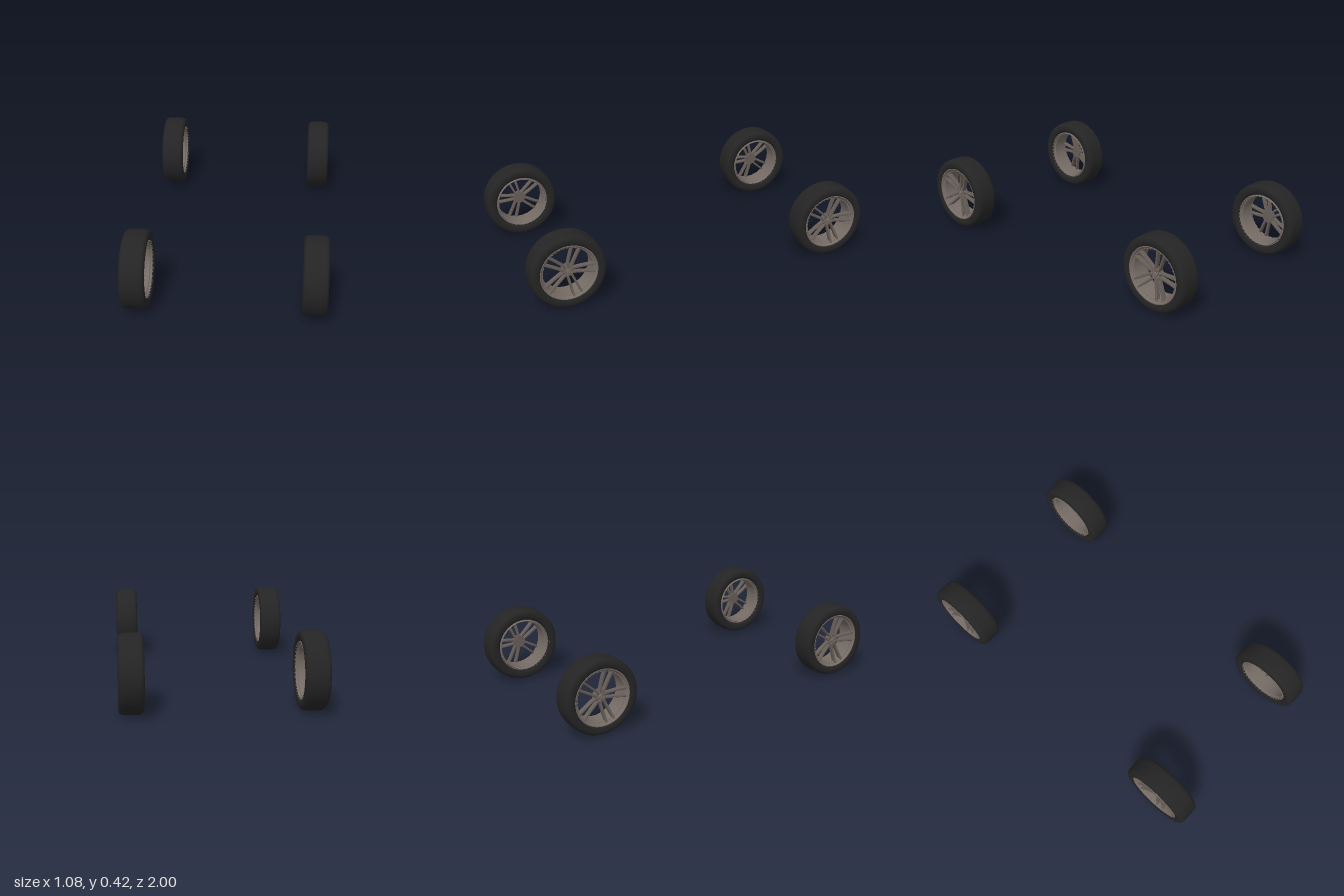
import * as THREE from 'three';
import { toCreasedNormals } from 'three/addons/utils/BufferGeometryUtils.js';

const R = 0.212;          // tyre radius
const HALF = 0.067;       // half of the tyre width
const rubber = new THREE.MeshStandardMaterial({ color: 0x242424 });
rubber.name = 'rubber';
const rimMetal = new THREE.MeshStandardMaterial({ color: 0x756b65 });
rimMetal.name = 'rim metal';
const spokeMetal = new THREE.MeshStandardMaterial({ color: 0x665d57 });
spokeMetal.name = 'spoke metal';

function mesh(name, geometry, material) {
  const m = new THREE.Mesh(geometry, material);
  m.name = name;
  return m;
}

// Turned part about the x axis; points are [radius, x]
function turned(points, segments, crease) {
  const g = new THREE.LatheGeometry(points.map(([r, x]) => new THREE.Vector2(r, x)), segments);
  g.rotateZ(-Math.PI / 2);
  return crease ? toCreasedNormals(g, crease) : g;
}

// Cylinder along x
function disc(r0, r1, length, sides, x) {
  const g = new THREE.CylinderGeometry(r1, r0, length, sides);
  g.rotateZ(-Math.PI / 2);
  g.translate(x, 0, 0);
  return g;
}

// One bar from hub to rim: side profile in (radius, x), given its thickness
function spokeGeometry(width) {
  const s = new THREE.Shape();
  s.moveTo(0.014, 0.018);
  s.quadraticCurveTo(0.08, 0.018, 0.145, 0.030);
  s.lineTo(0.145, 0.054);
  s.quadraticCurveTo(0.08, 0.040, 0.014, 0.038);
  s.closePath();
  const g = new THREE.ExtrudeGeometry(s, {
    depth: width - 0.004, curveSegments: 6,
    bevelEnabled: true, bevelThickness: 0.002, bevelSize: 0.002, bevelSegments: 1,
  });
  g.translate(0, 0, -(width - 0.004) / 2);
  // profile radius -> y, profile depth -> x, thickness -> z
  g.applyMatrix4(new THREE.Matrix4().makeBasis(
    new THREE.Vector3(0, 1, 0), new THREE.Vector3(1, 0, 0), new THREE.Vector3(0, 0, -1)));
  return g;
}

// Wheel about the x axis, outer face towards +x
function makeWheel() {
  const wheel = new THREE.Group();

  // Tyre with rounded shoulders
  const half = [[R, 0], [R - 0.0005, 0.035], [R - 0.003, 0.05], [R - 0.008, 0.059],
    [R - 0.016, 0.065], [R - 0.028, HALF], [R - 0.042, 0.066], [0.160, 0.062], [0.154, 0.054]];
  const tyre = [...half.slice(1).reverse().map(([r, x]) => [r, -x]), ...half];
  wheel.add(mesh('tyre', turned(tyre, 72), rubber));

  // Rim: outer lip, barrel and inner flange as one closed ring
  wheel.add(mesh('rim', turned([
    [0.150, -0.05], [0.160, -0.056], [0.160, -0.062], [0.156, -0.063],
  ].reverse().concat([
    [0.146, -0.060], [0.144, -0.050], [0.138, -0.046], [0.136, 0.026], [0.139, 0.046],
    [0.146, 0.050], [0.149, 0.057], [0.156, 0.063], [0.160, 0.062], [0.160, 0.056],
    [0.150, 0.05], [0.150, -0.05], [0.160, -0.056],
  ]).reverse(), 64, 0.6), rimMetal));

  // Small bolts round both edges of the rim
  const bolt = disc(0.0028, 0.0022, 0.005, 6, 0);
  for (const [name, x, r, count] of [['outerBolts', 0.051, 0.1425, 40], ['innerBolts', -0.0615, 0.151, 40]]) {
    const ring = new THREE.Group();
    ring.name = name;
    for (let i = 0; i < count; i++) {
      const a = (i / count) * Math.PI * 2;
      const b = mesh('rimBolt', bolt, rimMetal);
      b.position.set(x, Math.cos(a) * r, Math.sin(a) * r);
      if (x < 0) b.rotation.y = Math.PI;
      ring.add(b);
    }
    wheel.add(ring);
  }

  // Five pairs of spokes, with wheel nuts between the pairs
  const spoke = spokeGeometry(0.012);
  const nut = disc(0.005, 0.0045, 0.008, 6, 0.041);
  for (let i = 0; i < 5; i++) {
    const arm = new THREE.Group();
    arm.name = 'spokePair';
    arm.rotation.x = -Math.PI / 2 + (i * Math.PI * 2) / 5;
    for (const side of [-1, 1]) {
      const s = mesh('spoke', spoke, spokeMetal);
      s.position.z = side * 0.009;
      s.rotation.x = side * 0.095;
      arm.add(s);
    }
    const n = mesh('wheelNut', nut, rimMetal);
    n.position.set(0, Math.cos(Math.PI / 5) * 0.022, Math.sin(Math.PI / 5) * 0.022);
    arm.add(n);
    wheel.add(arm);
  }

  // Hub and centre cap
  wheel.add(mesh('hub', disc(0.036, 0.032, 0.028, 30, 0.024), spokeMetal));
  wheel.add(mesh('centreCap', disc(0.014, 0.012, 0.008, 24, 0.041), rimMetal));
  return wheel;
}

export function createModel() {
  const model = new THREE.Group();
  model.name = 'wheelSet';
  // The wheels on the other side are the same wheel turned half round
  for (const side of [1, -1]) {
    for (const end of [1, -1]) {
      const wheel = makeWheel();
      wheel.name = (end > 0 ? 'front' : 'rear') + (side > 0 ? 'Left' : 'Right') + 'Wheel';
      wheel.position.set(side * 0.472, R, end * (1 - R));
      if (side < 0) wheel.rotation.y = Math.PI;
      model.add(wheel);
    }
  }
  return model;
}
